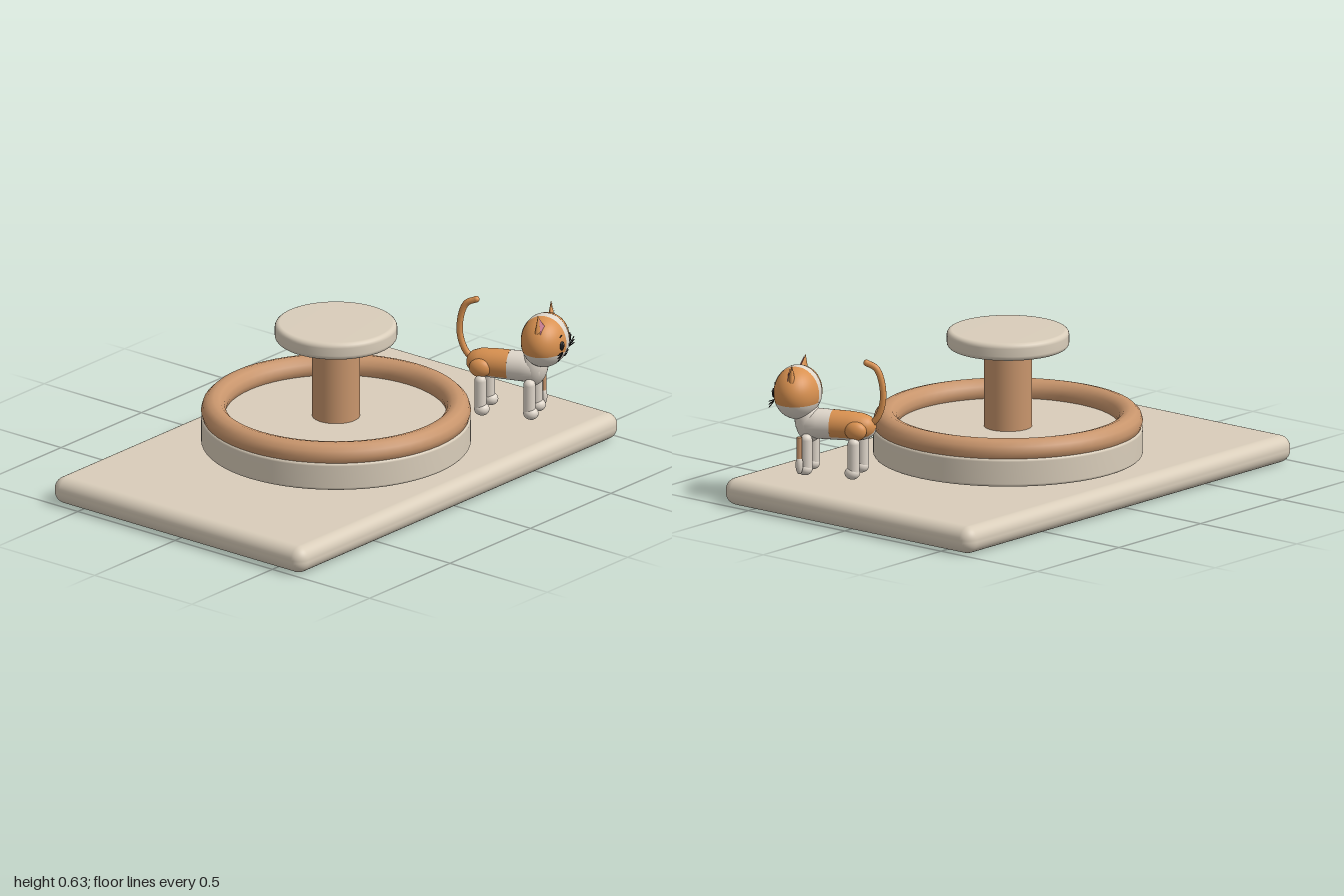
import * as THREE from 'three';
import { RoundedBoxGeometry } from 'three/addons/geometries/RoundedBoxGeometry.js';

const mat = (name, color, side = THREE.FrontSide) => {
  const m = new THREE.MeshStandardMaterial({ color, side });
  m.name = name;
  return m;
};
const cream = mat('cream', 0xd9cdba);
const tan = mat('tan', 0xc8956c);
const orange = mat('orange fur', 0xd99150, THREE.DoubleSide);
const white = mat('white fur', 0xdfd6ca, THREE.DoubleSide);
const pink = mat('pink', 0xcf8296, THREE.DoubleSide);
const black = mat('black', 0x1c1a1a);

function add(parent, name, geo, material, x = 0, y = 0, z = 0) {
  const m = new THREE.Mesh(geo, material);
  m.name = name;
  m.position.set(x, y, z);
  parent.add(m);
  return m;
}
function ball(parent, name, material, x, y, z, rx, ry, rz) {
  const m = add(parent, name, new THREE.SphereGeometry(1, 24, 16), material, x, y, z);
  m.scale.set(rx, ry, rz);
  return m;
}

// Solid disc with a rounded rim, standing from y0 to y1
function roundedDisc(r, y0, y1, b) {
  const pts = [new THREE.Vector2(0, y0)];
  for (let i = 0; i <= 5; i++) {
    const a = -Math.PI / 2 + (i / 5) * Math.PI / 2;
    pts.push(new THREE.Vector2(r - b + b * Math.cos(a), y0 + b + b * Math.sin(a)));
  }
  for (let i = 0; i <= 5; i++) {
    const a = (i / 5) * Math.PI / 2;
    pts.push(new THREE.Vector2(r - b + b * Math.cos(a), y1 - b + b * Math.sin(a)));
  }
  pts.push(new THREE.Vector2(0, y1));
  return new THREE.LatheGeometry(pts, 64);
}

// Head ellipsoid: centre height and radii
const HY = 0.325, HX = 0.125, HH = 0.107, HZ = 0.094;
const onHead = (x, y) => HZ * Math.sqrt(Math.max(0, 1 - (x / HX) ** 2 - (y / HH) ** 2));

function makeHead() {
  const head = new THREE.Group();
  head.name = 'head';
  head.position.y = HY;

  // Orange crown over a white jaw
  const split = 1.9;
  add(head, 'crown', new THREE.SphereGeometry(1, 40, 20, 0, Math.PI * 2, 0, split), orange).scale.set(HX, HH, HZ);
  add(head, 'jaw', new THREE.SphereGeometry(1, 40, 12, 0, Math.PI * 2, split, Math.PI - split), white).scale.set(HX, HH, HZ);

  // White stripe from the nose over the top to the nape
  const stripe = new THREE.SphereGeometry(1, 40, 4, -0.33, Math.PI + 0.66, Math.PI / 2 - 0.16, 0.32);
  stripe.rotateZ(Math.PI / 2);
  stripe.rotateX(Math.PI / 2);
  // keep the open arc at the bottom
  stripe.computeBoundingBox();
  const p = stripe.attributes.position;
  let cy = 0, cz = 0;
  for (let i = 0; i < p.count; i++) { cy += p.getY(i); cz += p.getZ(i); }
  stripe.rotateX(Math.atan2(cz, cy) * -1);
  add(head, 'headStripe', stripe, white).scale.set(HX * 1.015, HH * 1.015, HZ * 1.015);

  for (const s of [-1, 1]) {
    // Ear shell with a pink inner face
    const ear = new THREE.Group();
    ear.name = s > 0 ? 'leftEar' : 'rightEar';
    ear.position.set(s * 0.083, 0.09, 0);
    ear.rotation.set(0, s * 0.35, -s * 0.2);
    head.add(ear);
    add(ear, 'earShell', new THREE.ConeGeometry(0.036, 0.09, 20), orange).scale.z = 0.5;
    const tri = new THREE.Shape([[-0.027, -0.04], [0.027, -0.04], [0, 0.036]].map(v => new THREE.Vector2(...v)));
    const inner = add(ear, 'innerEar', new THREE.ShapeGeometry(tri), pink, 0, 0, 0.0125);
    inner.rotation.x = -0.2;

    // Eye, highlight and brow
    const ez = onHead(0.052, 0.002);
    const eye = ball(head, 'eye', black, s * 0.052, 0.002, ez, 0.013, 0.019, 0.006);
    eye.rotation.y = s * 0.4;
    ball(head, 'eyeHighlight', white, s * 0.052 + 0.004, 0.009, ez + 0.005, 0.004, 0.004, 0.002);
    const brow = add(head, 'brow', new THREE.BoxGeometry(0.014, 0.004, 0.004), black, s * 0.05, 0.04, onHead(0.05, 0.04) + 0.001);
    brow.rotation.set(-0.4, s * 0.4, -s * 0.2);

    // Whiskers
    for (const k of [-1, 0, 1]) {
      const w = add(head, 'whisker', new THREE.BoxGeometry(0.065, 0.003, 0.003), black, s * 0.078, -0.031 + k * 0.008, 0.086);
      w.rotation.z = s * k * 0.14;
    }

    // Half of the smile
    const smile = add(head, 'mouth', new THREE.TorusGeometry(0.01, 0.0018, 6, 12, Math.PI), black, s * 0.01, -0.045, onHead(0.01, -0.05) + 0.002);
    smile.rotation.z = Math.PI;
  }
  ball(head, 'nose', black, 0, -0.034, onHead(0, -0.034) + 0.001, 0.009, 0.007, 0.005);
  return head;
}

function makeCat() {
  const cat = new THREE.Group();
  cat.name = 'cat';
  cat.add(makeHead());

  // Body: one profile along z, white in front, orange saddle behind
  const prof = [[0, -0.325], [0.025, -0.318], [0.043, -0.3], [0.054, -0.27], [0.059, -0.22], [0.06, -0.145],
    [0.061, -0.09], [0.06, -0.05], [0.045, -0.01], [0, 0.005]].map(v => new THREE.Vector2(...v));
  const rear = prof.slice(0, 6), front = prof.slice(5), q = Math.PI / 4;
  for (const [name, pts, a, len, m] of [
    ['chest', front, 0, 8 * q, white],
    ['saddle', rear, q, 6 * q, orange],
    ['belly', rear, -q, 2 * q, white]]) {
    const g = new THREE.LatheGeometry(pts, 32, a, len);
    g.rotateX(Math.PI / 2);
    add(cat, name, g, m, 0, 0.203, 0);
  }
  const neck = ball(cat, 'neck', white, 0, 0.21, -0.045, 0.058, 0.085, 0.056);
  neck.rotation.x = 0.15;

  // Legs with round paws
  for (const s of [-1, 1]) {
    for (const [name, x, z] of [['frontLeg', 0.05, -0.05], ['hindLeg', 0.06, -0.25]]) {
      add(cat, name, new THREE.CapsuleGeometry(0.024, 0.11, 6, 20), white, s * x, 0.09, z);
      ball(cat, 'paw', white, s * x, 0.026, z + 0.006, 0.029, 0.026, 0.031);
    }
    ball(cat, 'haunch', orange, s * 0.05, 0.195, -0.255, 0.028, 0.038, 0.045);
  }

  // Upright tail curling forward at the tip
  const path = new THREE.CatmullRomCurve3([[0.21, -0.3], [0.245, -0.33], [0.31, -0.352], [0.39, -0.348], [0.445, -0.325], [0.465, -0.285]]
    .map(([y, z]) => new THREE.Vector3(0, y, z)));
  add(cat, 'tail', new THREE.TubeGeometry(path, 32, 0.013, 12), orange);
  ball(cat, 'tailTip', orange, 0, 0.465, -0.285, 0.013, 0.013, 0.013);

  // Slim hanging strip with a pale teardrop end
  add(cat, 'hangingStrip', new THREE.CylinderGeometry(0.011, 0.011, 0.1, 12), tan, 0.088, 0.113, -0.033);
  ball(cat, 'hangingEnd', white, 0.088, 0.05, -0.033, 0.015, 0.038, 0.015);

  cat.position.set(0.75, 0.12, 0.455);
  cat.rotation.y = 0.4;
  return cat;
}

export function createModel() {
  const model = new THREE.Group();
  model.name = 'catPlayStand';

  add(model, 'base', new RoundedBoxGeometry(2, 0.11, 1.29, 5, 0.05), cream, 0, 0.055, 0);
  add(model, 'drum', roundedDisc(0.535, 0.12, 0.235, 0.012), cream);
  const ring = add(model, 'ring', new THREE.TorusGeometry(0.485, 0.05, 12, 64), tan, 0, 0.258, 0);
  ring.rotation.x = Math.PI / 2;
  add(model, 'post', new THREE.CylinderGeometry(0.095, 0.095, 0.35, 40), tan, 0, 0.405, 0);
  add(model, 'topPlatform', roundedDisc(0.243, 0.558, 0.63, 0.02), cream);
  model.add(makeCat());
  return model;
}
